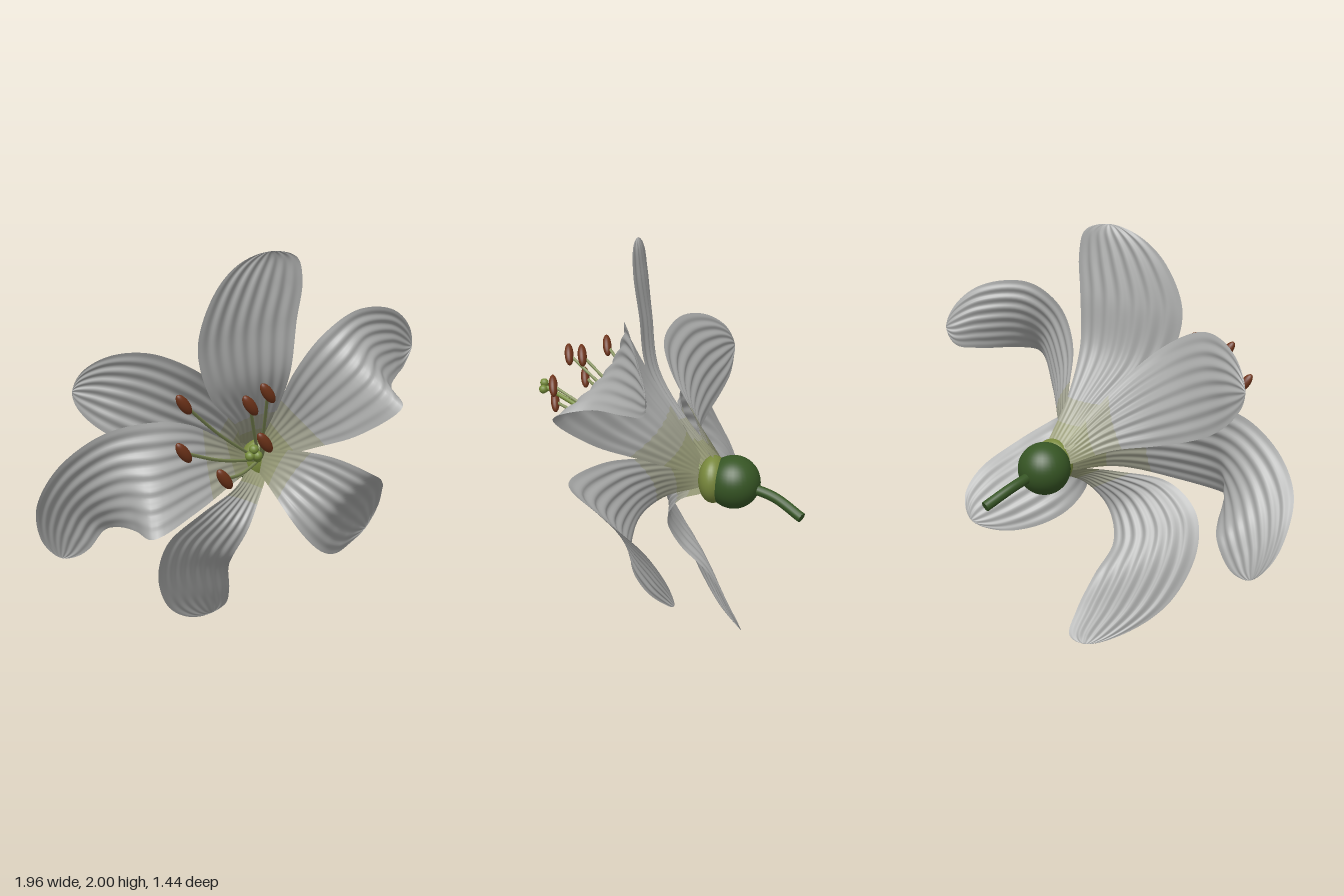
import * as THREE from 'three';

const V = (p) => new THREE.Vector3(...p);
const mat = (color, side = THREE.FrontSide) => new THREE.MeshStandardMaterial({ color, side });

// Petal colours from the green throat outwards
const petalMats = [0x989b78, 0xa1a290, 0xa8a9a8].map((c) => mat(c, THREE.DoubleSide));
const darkGreen = mat(0x365524);
const paleGreen = mat(0x78883c);
const filamentMat = mat(0x84915a);
const pistilMat = mat(0x758c3a);
const antherMat = mat(0x6e3319);

function add(group, name, geometry, material, position) {
  const mesh = new THREE.Mesh(geometry, material);
  mesh.name = name;
  if (position) mesh.position.set(...position);
  group.add(mesh);
  return mesh;
}

// Petal: a ribbed, cupped sheet stretched between the two halves of its outline.
// edgeA runs base to tip, edgeB runs tip to base, and the cup sinks towards -z.
function petalGeometry(edgeA, tip, edgeB, cup) {
  const outline = new THREE.CatmullRomCurve3([...edgeA, tip, ...edgeB].map(V));
  const rows = 56, cols = 56, ribs = 7;
  const positions = [], index = [];
  for (let i = 0; i <= rows; i++) {
    const u = i / rows;
    const a = outline.getPoint(u / 2), b = outline.getPoint(1 - u / 2);
    const sag = cup * Math.sin(Math.PI * Math.pow(u, 0.8));
    const ribHeight = 0.006 * Math.min(1, u * 4, (1 - u) * 3);
    for (let j = 0; j <= cols; j++) {
      const v = j / cols;
      const p = a.clone().lerp(b, v);
      p.z += -sag * 4 * v * (1 - v) + ribHeight * Math.sin(v * ribs * Math.PI * 2) * Math.min(1, v * 8, (1 - v) * 8);
      positions.push(p.x, p.y, p.z);
      if (i < rows && j < cols) {
        const k = i * (cols + 1) + j, n = k + cols + 1;
        index.push(k, k + 1, n, k + 1, n + 1, n);
      }
    }
  }
  const g = new THREE.BufferGeometry();
  g.setAttribute('position', new THREE.Float32BufferAttribute(positions, 3));
  g.setIndex(index);
  g.computeVertexNormals();
  // Colour bands along the length
  const bands = [0, 5, 10, rows];
  petalMats.forEach((m, i) => g.addGroup(bands[i] * cols * 6, (bands[i + 1] - bands[i]) * cols * 6, i));
  return g;
}

// Slightly sagging stalk from the throat to a point
function stalk(from, to, radius, sag) {
  const a = V(from), b = V(to);
  const mid = a.clone().lerp(b, 0.55);
  mid.y -= sag;
  return new THREE.TubeGeometry(new THREE.CatmullRomCurve3([a, mid, b]), 24, radius, 8);
}

export function createModel() {
  const flower = new THREE.Group();
  flower.name = 'lilyFlower';

  // Petals
  const petal = (name, ...shape) => add(flower, name, petalGeometry(...shape), petalMats);

  petal('topPetal',
    [[0.1, 0.95, -0.28], [0.02, 1.12, -0.05], [-0.16, 1.33, 0.16], [-0.225, 1.58, 0.21], [-0.14, 1.82, 0.185], [-0.01, 1.95, 0.145]],
    [0.15, 2.0, 0.12],
    [[0.28, 1.965, 0.1], [0.31, 1.85, 0.09], [0.29, 1.66, 0.07], [0.27, 1.4, 0.04], [0.24, 1.15, -0.12], [0.23, 0.97, -0.29]], 0.05);

  petal('upperLeftPetal',
    [[0.18, 0.98, -0.2], [0.24, 1.18, -0.1], [0.3, 1.4, 0.02], [0.42, 1.58, 0.07], [0.6, 1.69, 0.04], [0.82, 1.67, -0.06], [0.94, 1.57, -0.13]],
    [0.975, 1.45, -0.17],
    [[0.93, 1.36, -0.15], [0.85, 1.335, -0.04], [0.75, 1.32, 0.16], [0.745, 1.265, 0.33], [0.58, 1.11, 0.21], [0.4, 1.0, 0.02], [0.21, 0.89, -0.19]], 0.05);

  petal('lowerLeftPetal',
    [[0.2, 0.95, -0.19], [0.34, 0.99, 0.03], [0.47, 0.99, 0.2], [0.62, 0.93, 0.31], [0.74, 0.82, 0.1], [0.82, 0.7, -0.12], [0.835, 0.58, -0.22]],
    [0.78, 0.46, -0.24],
    [[0.66, 0.405, -0.16], [0.54, 0.41, -0.03], [0.43, 0.47, 0.07], [0.34, 0.56, 0.1], [0.26, 0.67, 0.08], [0.21, 0.76, -0.02], [0.18, 0.82, -0.2]], 0.05);

  petal('bottomPetal',
    [[0.13, 0.85, -0.23], [0, 0.8, -0.02], [-0.2, 0.74, 0.14], [-0.36, 0.61, 0.14], [-0.405, 0.43, 0.08], [-0.34, 0.2, -0.05], [-0.2, 0.06, -0.2]],
    [-0.04, 0.005, -0.35],
    [[0.04, 0.04, -0.375], [0.045, 0.15, -0.31], [0.015, 0.31, -0.2], [0.005, 0.44, -0.05], [0.07, 0.59, 0], [0.15, 0.73, -0.08], [0.22, 0.8, -0.21]], 0.04);

  petal('upperRightPetal',
    [[0.1, 0.88, -0.28], [-0.05, 0.94, -0.15], [-0.26, 0.98, -0.08], [-0.46, 1.035, -0.08], [-0.59, 1.09, -0.1], [-0.7, 1.17, -0.125], [-0.76, 1.25, -0.13]],
    [-0.775, 1.32, -0.13],
    [[-0.73, 1.42, -0.1], [-0.6, 1.51, -0.02], [-0.42, 1.53, 0.07], [-0.22, 1.45, 0.1], [-0.08, 1.33, 0.03], [0.04, 1.15, -0.12], [0.13, 0.97, -0.28]], 0.03);

  petal('lowerRightPetal',
    [[0.11, 0.93, -0.25], [-0.05, 1.05, -0.08], [-0.23, 1.16, 0.02], [-0.42, 1.19, 0.05], [-0.66, 1.15, 0.07], [-0.86, 1.01, 0.05], [-0.96, 0.85, 0.01], [-0.98, 0.71, -0.06], [-0.94, 0.55, -0.13]],
    [-0.85, 0.455, -0.17],
    [[-0.77, 0.46, -0.17], [-0.71, 0.5, -0.16], [-0.64, 0.6, -0.13], [-0.58, 0.65, -0.02], [-0.52, 0.675, 0.13], [-0.46, 0.68, 0.285], [-0.22, 0.76, 0.16], [0, 0.83, -0.03], [0.14, 0.83, -0.23]], 0.04);

  // Receptacle, ovary and stem behind the petals
  add(flower, 'receptacle', new THREE.SphereGeometry(0.115, 32, 20), paleGreen, [0.205, 0.875, -0.27])
    .scale.set(0.92, 1, 0.62);
  add(flower, 'ovary', new THREE.SphereGeometry(0.128, 32, 24), darkGreen, [0.19, 0.865, -0.365]);
  const stemPath = new THREE.CatmullRomCurve3([[0.2, 0.85, -0.44], [0.22, 0.815, -0.57], [0.272, 0.745, -0.71]].map(V));
  add(flower, 'stem', new THREE.TubeGeometry(stemPath, 20, 0.025, 14), darkGreen);
  const cap = add(flower, 'stemEnd', new THREE.CircleGeometry(0.025, 14), darkGreen, [0.272, 0.745, -0.71]);
  cap.quaternion.setFromUnitVectors(V([0, 0, 1]), stemPath.getTangent(1));

  // Stamens: filament with a tilted anther at its end
  const throat = [0.19, 0.88, -0.24];
  const antherAxis = V([-0.55, 0.8, 0.24]).normalize();
  const tips = [[-0.34, 1.37, 0.445], [-0.06, 1.375, 0.55], [0.05, 1.4, 0.44], [-0.37, 1.185, 0.58], [-0.01, 1.22, 0.62], [-0.21, 1.085, 0.69]];
  for (const tip of tips) {
    const stamen = new THREE.Group();
    stamen.name = 'stamen';
    add(stamen, 'filament', stalk(throat, tip, 0.008, 0.02), filamentMat);
    const anther = add(stamen, 'anther', new THREE.SphereGeometry(1, 18, 14), antherMat, tip);
    anther.scale.set(0.026, 0.06, 0.022);
    anther.quaternion.setFromUnitVectors(V([0, 1, 0]), antherAxis);
    flower.add(stamen);
  }

  // Pistil with a three-lobed stigma
  const stigma = [-0.08, 1.195, 0.69];
  add(flower, 'pistil', stalk(throat, stigma, 0.012, 0.015), pistilMat);
  for (let i = 0; i < 3; i++) {
    const a = Math.PI / 2 + (i * Math.PI * 2) / 3;
    add(flower, 'stigmaLobe', new THREE.SphereGeometry(0.022, 14, 10), pistilMat,
      [stigma[0] + 0.02 * Math.cos(a), stigma[1] + 0.02 * Math.sin(a), stigma[2] + 0.005]);
  }
  return flower;
}
